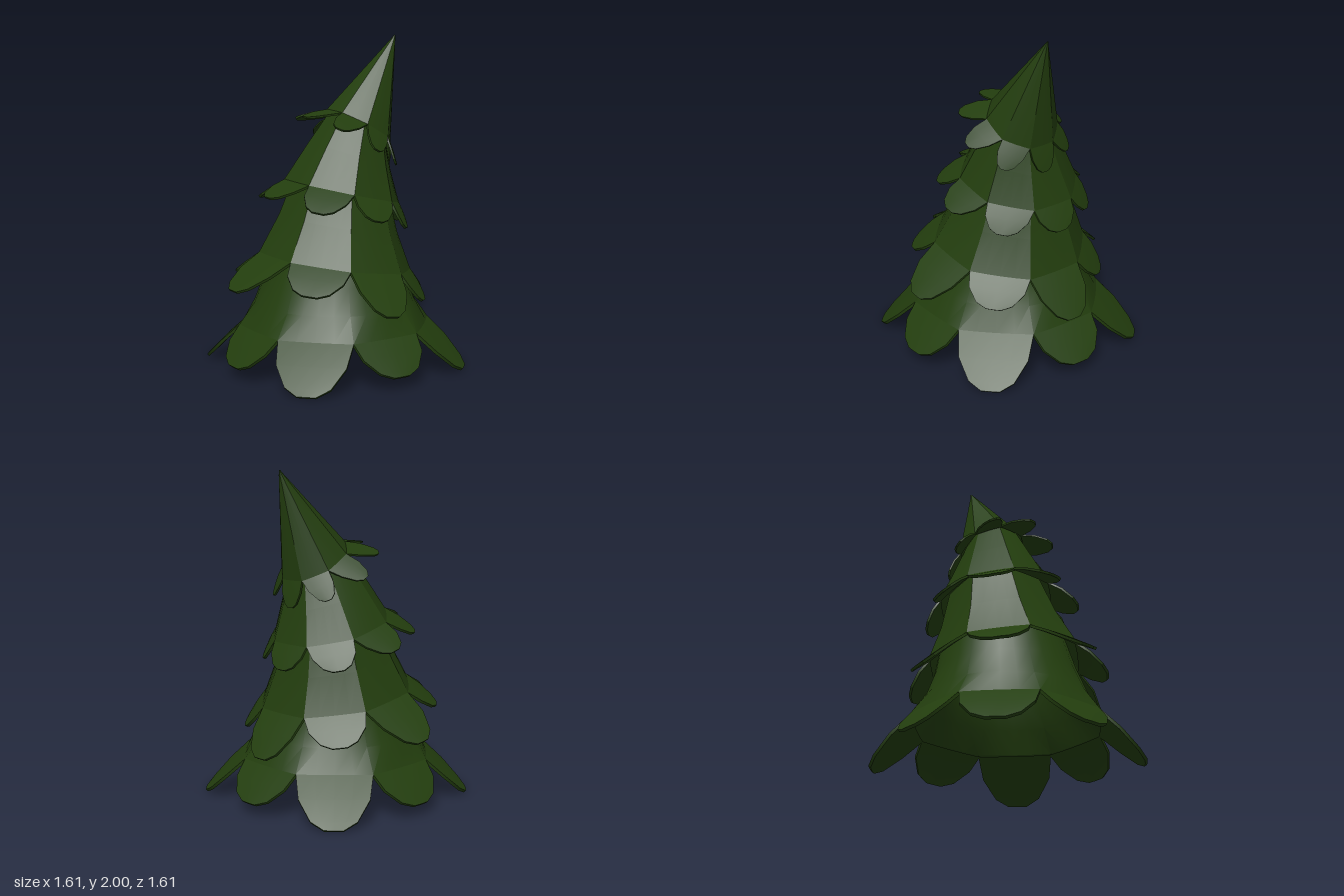
import * as THREE from 'three';
import { toCreasedNormals } from 'three/addons/utils/BufferGeometryUtils.js';

const PETALS = 8;
const STEP = (Math.PI * 2) / PETALS;
const START = THREE.MathUtils.degToRad(-10); // direction of the first frond
const HALF = STEP / 2;
const LEAN = new THREE.Vector2(0.64, -0.77); // the tree leans this way (x, z)

// Each tier: body rings from top to bottom; the last ring is where the fronds start.
// Ring: x, y, z of the centre, radius, tilt and how far its eight sides bow out.
// Fronds alternate [reach, drop]; sway moves their tips against the lean.
const ring = (x, y, z, r, tilt, bulge = 0.018) => ({ x, y, z, r, tilt, bulge });
const TIERS = [
  {
    name: 'bottomTier', thick: 0.02, sway: 0,
    rings: [ring(0.01, 0.75, -0.03, 0.38, 0.1, 0.076), ring(0, 0.55, -0.01, 0.43, 0.05, 0.076),
      ring(0, 0.4, 0, 0.492, 0, 0.07), ring(0, 0.26, 0, 0.59, 0)],
    fronds: [[0.808, -0.25], [0.722, -0.185]],
  },
  {
    name: 'lowerMiddleTier', thick: 0.018, sway: 0.018,
    rings: [ring(0.02, 1.1, -0.076, 0.3, 0.23), ring(0.01, 0.86, -0.045, 0.375, 0.19),
      ring(0, 0.635, -0.015, 0.476, 0.15)],
    fronds: [[0.595, -0.15], [0.685, -0.205]],
  },
  {
    name: 'upperMiddleTier', thick: 0.016, sway: 0.035,
    rings: [ring(0.11, 1.5, -0.126, 0.175, 0.5), ring(0.06, 1.27, -0.1, 0.27, 0.35),
      ring(0.02, 1.06, -0.076, 0.365, 0.23)],
    fronds: [[0.47, -0.13], [0.485, -0.11]],
  },
  {
    name: 'topTier', thick: 0.013, sway: 0.04,
    rings: [ring(0.27, 2, -0.32, 0.004, 0.5), ring(0.265, 1.975, -0.309, 0.014, 0.5),
      ring(0.11, 1.455, -0.126, 0.222, 0.52)],
    fronds: [[0.345, -0.1], [0.345, -0.105]],
  },
];

// Point on a tilted ring: out along the frond direction, sideways, and up
function place(c, angle, out, side, up) {
  const x = Math.cos(angle) * out - Math.sin(angle) * side;
  const z = Math.sin(angle) * out + Math.cos(angle) * side;
  const along = x * LEAN.x + z * LEAN.y;
  const shift = along * Math.cos(c.tilt) + up * Math.sin(c.tilt) - along;
  return new THREE.Vector3(
    c.x + x + LEAN.x * shift,
    c.y + up * Math.cos(c.tilt) - along * Math.sin(c.tilt),
    c.z + z + LEAN.y * shift
  );
}

// Skin a list of closed rows, listed from top to bottom
function loft(rows, crease) {
  const n = rows[0].length;
  const index = [];
  for (let i = 0; i < rows.length - 1; i++) {
    for (let j = 0; j < n; j++) {
      const a = i * n + j, b = i * n + ((j + 1) % n);
      index.push(a, b, b + n, a, b + n, a + n);
    }
  }
  const geo = new THREE.BufferGeometry().setFromPoints(rows.flat());
  geo.setIndex(index);
  return toCreasedNormals(geo, crease);
}

// Tapering body of a tier
function bodyGeometry({ rings }) {
  const rows = rings.map((c) => {
    const row = [];
    for (let k = 0; k < PETALS; k++) {
      for (const u of [-1, -0.5, 0, 0.5]) {
        const out = c.r * (Math.cos(HALF) + c.bulge * (1 - u * u));
        row.push(place(c, START + k * STEP, out, c.r * Math.sin(HALF) * u, 0));
      }
    }
    return row;
  });
  return loft(rows, 0.4);
}

// One thick, blunt-ended frond
function frondGeometry({ rings, thick, sway }, k, [reach, drop]) {
  const c = rings[rings.length - 1];
  const angle = START + k * STEP;
  const columns = [-1, -0.5, 0, 0.5, 1];
  const profile = [[0, 1], [0.48, 0.92], [0.86, 0.6], [1, 0.25]]; // [length, width]
  const base = c.r * (Math.cos(HALF) + c.bulge);
  const rows = profile.map(([t, w]) => {
    const centre = { ...c, x: c.x - LEAN.x * sway * t, z: c.z - LEAN.y * sway * t };
    const point = (u, inset) => place(
      centre, angle,
      THREE.MathUtils.lerp(base, reach, t) - c.r * c.bulge * u * u * w - inset * 0.7,
      c.r * Math.sin(HALF) * w * u,
      drop * Math.pow(t, 1.1) - inset * 0.6
    );
    return [
      ...columns.map((u) => point(u, 0)),
      ...[...columns].reverse().map((u) => point(u, thick)),
    ];
  });
  // close the tip
  const end = rows[rows.length - 1];
  rows.push(end.map((p, j) => p.clone().lerp(end[end.length - 1 - j], 0.5)));
  return loft(rows, 0.5);
}

export function createModel() {
  const tree = new THREE.Group();
  tree.name = 'leaningFirTree';
  const green = new THREE.MeshStandardMaterial({ color: 0x233e0e });
  green.name = 'firGreen';
  green.side = THREE.DoubleSide; // the tiers are open underneath

  for (const tier of TIERS) {
    const group = new THREE.Group();
    group.name = tier.name;
    const body = new THREE.Mesh(bodyGeometry(tier), green);
    body.name = 'tierBody';
    group.add(body);
    for (let k = 0; k < PETALS; k++) {
      const frond = new THREE.Mesh(frondGeometry(tier, k, tier.fronds[k % 2]), green);
      frond.name = 'frond';
      group.add(frond);
    }
    tree.add(group);
  }
  return tree;
}
